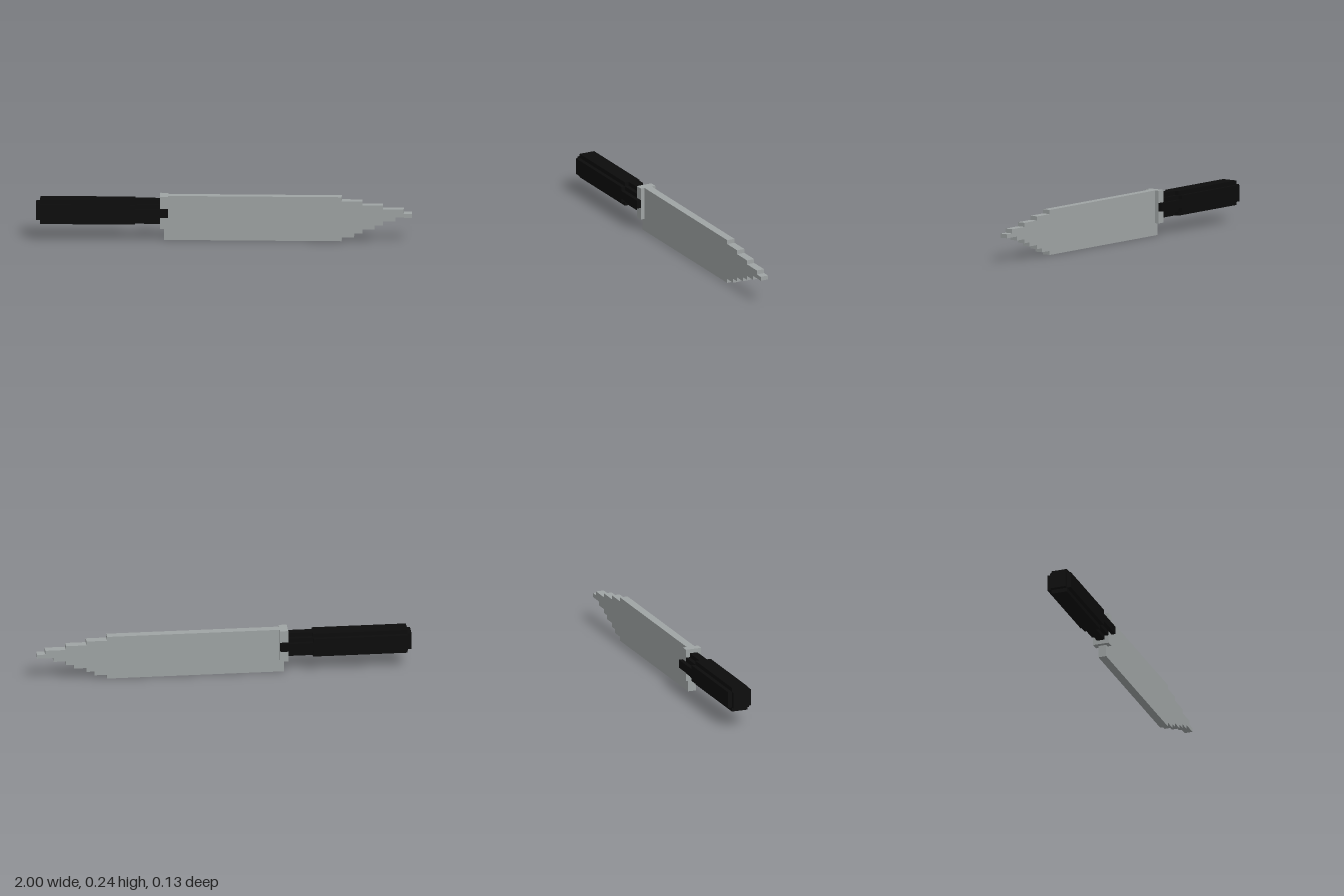
import * as THREE from 'three';

// One block of the stepped grid; the knife is 91 blocks long
const U = 2 / 91;
const gx = (i) => -1 + i * U;

const steel = new THREE.MeshStandardMaterial({ color: 0x9fa4a4 });
steel.name = 'steel grey';
const black = new THREE.MeshStandardMaterial({ color: 0x0b0b0b });
black.name = 'grip black';

function addMesh(parent, name, geometry, material) {
  const mesh = new THREE.Mesh(geometry, material);
  mesh.name = name;
  parent.add(mesh);
  return mesh;
}

// Box given in grid blocks, centred on z = 0 with half depth hz
function addBox(parent, name, material, x0, x1, y0, y1, hz) {
  const g = new THREE.BoxGeometry((x1 - x0) * U, (y1 - y0) * U, 2 * hz * U);
  g.translate(gx((x0 + x1) / 2), ((y0 + y1) / 2) * U, 0);
  return addMesh(parent, name, g, material);
}

// Bar along x whose cross-section is a stepped outline, mirrored in z and y.
// The quarter lists [half depth, half height] corners from the side to the top.
function addBar(parent, name, material, x0, x1, quarter) {
  const pts = [];
  const back = [...quarter].reverse();
  for (const [z, y] of quarter) pts.push([z, y]);
  for (const [z, y] of back) pts.push([-z, y]);
  for (const [z, y] of quarter) pts.push([-z, -y]);
  for (const [z, y] of back) pts.push([z, -y]);
  const shape = new THREE.Shape(pts.map(([z, y]) => new THREE.Vector2(z * U, y * U)));
  const g = new THREE.ExtrudeGeometry(shape, { depth: (x1 - x0) * U, bevelEnabled: false });
  g.rotateY(Math.PI / 2);
  g.translate(gx(x0), 7 * U, 0);
  return addMesh(parent, name, g, material);
}

export function createModel() {
  const knife = new THREE.Group();
  knife.name = 'knife';

  // Blade: flat plate with a stepped point, [x where the step ends, height]
  const lower = [[74, 0], [77, 1], [79, 2], [82, 3], [84, 4], [87, 5], [91, 6]];
  const upper = [[91, 7], [89, 8], [84, 9], [79, 10], [74, 11]];
  const outline = [[31, 0]];
  lower.forEach(([x, y], i) => {
    if (i > 0) outline.push([lower[i - 1][0], y]);
    outline.push([x, y]);
  });
  upper.forEach(([x, y], i) => {
    outline.push([x, y]);
    if (i < upper.length - 1) outline.push([upper[i + 1][0], y]);
  });
  outline.push([31, 11]);
  const shape = new THREE.Shape(outline.map(([x, y]) => new THREE.Vector2(gx(x), y * U)));
  const bladeGeo = new THREE.ExtrudeGeometry(shape, { depth: 2 * U, bevelEnabled: false });
  bladeGeo.translate(0, 0, -U);
  addMesh(knife, 'blade', bladeGeo, steel);

  // Bolster between blade and handle
  addBox(knife, 'bolster', steel, 30, 32, 3, 11, 2);

  // Handle: end cap, wide grip and slimmer neck
  const handle = new THREE.Group();
  handle.name = 'handle';
  addBox(handle, 'endCap', black, 0, 1, 5, 9, 2);
  addBar(handle, 'grip', black, 1, 24, [[3, 2], [2, 2], [2, 3]]);
  addBar(handle, 'neck', black, 24, 30, [[3, 1], [2, 1], [2, 2], [1, 2], [1, 3]]);

  // Tongues that clasp the bolster on both sides
  for (const s of [1, -1]) {
    const tongue = addBox(handle, s > 0 ? 'frontTongue' : 'backTongue', black, 30, 32, 6, 8, 0.5);
    tongue.position.z = s * 2.5 * U;
  }
  knife.add(handle);

  return knife;
}
